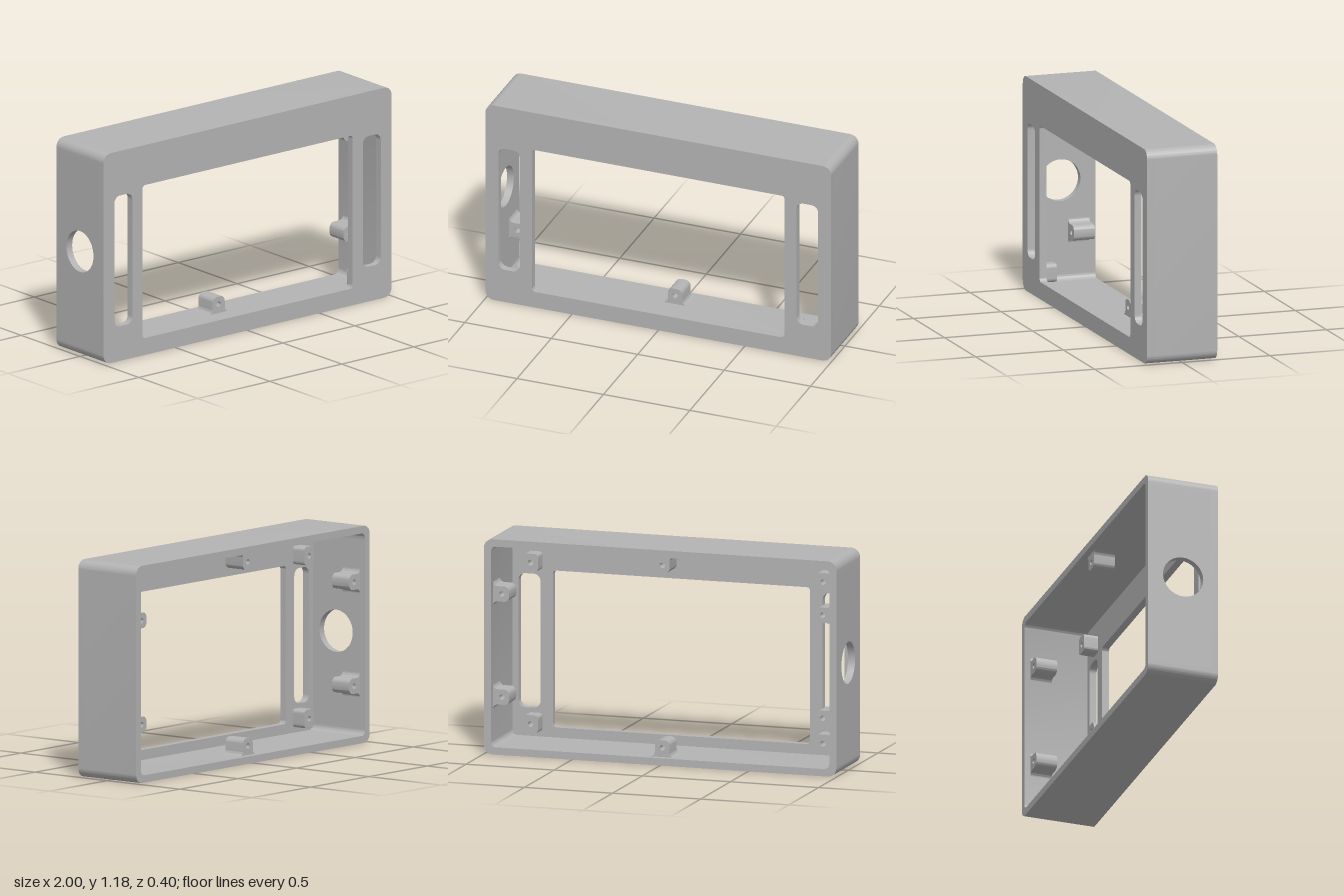
import * as THREE from 'three';
import { toCreasedNormals } from 'three/addons/utils/BufferGeometryUtils.js';

const W = 1, H = 1.18, D = 0.2, T = 0.04; // half width, height, half depth, wall thickness

// Rounded rectangle outline from (x0, y0) to (x1, y1)
function roundRect(Type, x0, y0, x1, y1, r) {
  const s = new Type();
  s.moveTo(x0 + r, y0);
  s.lineTo(x1 - r, y0);
  s.absarc(x1 - r, y0 + r, r, -Math.PI / 2, 0);
  s.lineTo(x1, y1 - r);
  s.absarc(x1 - r, y1 - r, r, 0, Math.PI / 2);
  s.lineTo(x0 + r, y1);
  s.absarc(x0 + r, y1 - r, r, Math.PI / 2, Math.PI);
  s.lineTo(x0, y0 + r);
  s.absarc(x0 + r, y0 + r, r, Math.PI, Math.PI * 1.5);
  return s;
}

function circleHole(x, y, r) {
  return new THREE.Path().absarc(x, y, r, 0, Math.PI * 2, true);
}

// Extrude from z0 to z1 with smooth curves and sharp edges
function extrude(shape, z0, z1, curveSegments = 10) {
  const g = new THREE.ExtrudeGeometry(shape, { depth: z1 - z0, bevelEnabled: false, curveSegments });
  g.translate(0, 0, z0);
  return toCreasedNormals(g, 0.6);
}

export function createModel() {
  const group = new THREE.Group();
  const grey = new THREE.MeshStandardMaterial({ color: 0xb3b3b3 });
  grey.name = 'grey plastic';
  const add = (name, geometry) => {
    const mesh = new THREE.Mesh(geometry, grey);
    mesh.name = name;
    group.add(mesh);
    return mesh;
  };

  // Front plate with the main window and two side slots
  const plate = roundRect(THREE.Shape, -W, 0, W, H, 0.05);
  plate.holes.push(
    roundRect(THREE.Path, -0.73, 0.095, 0.73, 0.955, 0.02),
    roundRect(THREE.Path, -0.925, 0.195, -0.8, 0.93, 0.04),
    roundRect(THREE.Path, 0.8, 0.195, 0.925, 0.93, 0.04)
  );
  add('frontPlate', extrude(plate, D - T, D));

  // Surrounding wall, left open along the flat part of the -x side
  const lo = 0.08, hi = H - 0.08, ro = 0.05, ri = 0.03, q = Math.PI / 2;
  const wall = new THREE.Shape();
  wall.moveTo(-W, lo);
  wall.lineTo(-W, ro);
  wall.absarc(-W + ro, ro, ro, 2 * q, 3 * q);
  wall.lineTo(W - ro, 0);
  wall.absarc(W - ro, ro, ro, -q, 0);
  wall.lineTo(W, H - ro);
  wall.absarc(W - ro, H - ro, ro, 0, q);
  wall.lineTo(-W + ro, H);
  wall.absarc(-W + ro, H - ro, ro, q, 2 * q);
  wall.lineTo(-W, hi);
  const xi = W - T, yi = H - T;
  wall.lineTo(-xi, hi);
  wall.lineTo(-xi, yi - ri);
  wall.absarc(-xi + ri, yi - ri, ri, 2 * q, q, true);
  wall.lineTo(xi - ri, yi);
  wall.absarc(xi - ri, yi - ri, ri, q, 0, true);
  wall.lineTo(xi, T + ri);
  wall.absarc(xi - ri, T + ri, ri, 0, -q, true);
  wall.lineTo(-xi + ri, T);
  wall.absarc(-xi + ri, T + ri, ri, 3 * q, 2 * q, true);
  wall.lineTo(-xi, lo);
  add('outerWall', extrude(wall, -D, D - T));

  // Side panel with the round cable opening
  const panel = new THREE.Shape();
  panel.moveTo(-(D - T), lo);
  panel.lineTo(D, lo);
  panel.lineTo(D, hi);
  panel.lineTo(-(D - T), hi);
  panel.holes.push(circleHole(0, H / 2, 0.115));
  const panelGeo = extrude(panel, -W, -W + T, 24);
  panelGeo.rotateY(Math.PI / 2); // shape x becomes -z, depth becomes x
  add('sidePanel', panelGeo);

  // Screw boss that grows from a wall, with fillets at its foot
  const f = 0.025, h = 0.092, w = 0.042, r = 0.03;
  const boss = new THREE.Shape();
  boss.moveTo(-w - f, 0);
  boss.lineTo(w + f, 0);
  boss.absarc(w + f, f, f, -q, -2 * q, true);
  boss.lineTo(w, h - r);
  boss.absarc(w - r, h - r, r, 0, q);
  boss.lineTo(-w + r, h);
  boss.absarc(-w + r, h - r, r, q, 2 * q);
  boss.lineTo(-w, f);
  boss.absarc(-w - f, f, f, 0, -q, true);
  boss.holes.push(circleHole(0, 0.05, 0.015));
  const bossGeo = extrude(boss, -0.165, -0.045);
  for (const [x, y, turn] of [
    [0, T, 0], [0, yi, Math.PI],
    [xi, 0.31, q], [xi, 0.875, q],
    [-xi, 0.31, -q], [-xi, 0.875, -q]
  ]) {
    const m = add('wallBoss', bossGeo);
    m.position.set(x, y, 0);
    m.rotation.z = turn;
  }

  // Short bosses on the back of the front plate, above and below the slots
  const post = roundRect(THREE.Shape, -0.042, -0.05, 0.042, 0.05, 0.02);
  post.holes.push(circleHole(0, 0, 0.015));
  const postGeo = extrude(post, 0.08, D - T);
  for (const x of [-0.83, 0.83]) {
    for (const y of [0.12, 1.005]) add('plateBoss', postGeo).position.set(x, y, 0);
  }
  return group;
}
